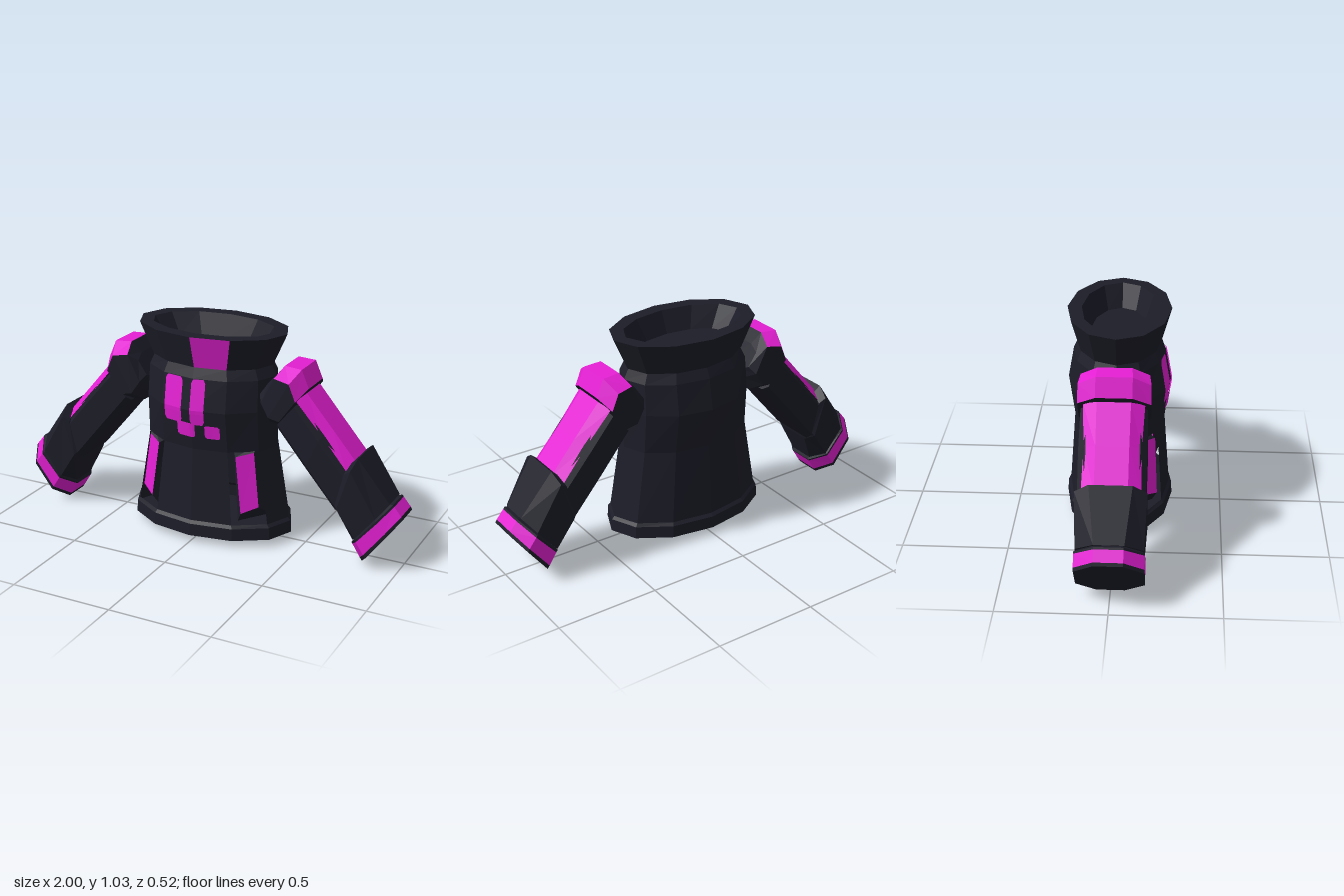
import * as THREE from 'three';

const black = new THREE.MeshStandardMaterial({ color: 0x1c1d28, flatShading: true, side: THREE.DoubleSide });
black.name = 'charcoal cloth';
const pink = new THREE.MeshStandardMaterial({ color: 0xe41fd3, flatShading: true, side: THREE.DoubleSide });
pink.name = 'magenta trim';

// Skins rings of [x, y, z] points; pick(ring, segment) gives 0 black, 1 pink, -1 open
function loft(name, rings, { pick = () => 0, start = -1, end = -1, side = 1 } = {}) {
  const lists = [[], []];
  const tri = (colour, a, b, c) => {
    if (colour < 0) return;
    for (const p of side > 0 ? [a, b, c] : [a, c, b]) lists[colour].push(p[0] * side, p[1], p[2]);
  };
  const n = rings[0].length;
  for (let i = 0; i < rings.length - 1; i++) {
    for (let j = 0; j < n; j++) {
      const k = (j + 1) % n, colour = pick(i, j);
      const a = rings[i][j], b = rings[i][k], c = rings[i + 1][k], d = rings[i + 1][j];
      tri(colour, a, b, c);
      tri(colour, a, c, d);
    }
  }
  const first = rings[0], last = rings[rings.length - 1];
  for (let j = 1; j < n - 1; j++) {
    tri(start, first[0], first[j + 1], first[j]);
    tri(end, last[0], last[j], last[j + 1]);
  }
  const geo = new THREE.BufferGeometry();
  geo.setAttribute('position', new THREE.Float32BufferAttribute([...lists[0], ...lists[1]], 3));
  geo.addGroup(0, lists[0].length / 3, 0);
  geo.addGroup(lists[0].length / 3, lists[1].length / 3, 1);
  geo.computeVertexNormals();
  const mesh = new THREE.Mesh(geo, [black, pink]);
  mesh.name = name;
  return mesh;
}

// Torso profile: height, half width, half depth
const torso = [
  [0.11, 0.403, 0.243], [0.47, 0.338, 0.217], [0.67, 0.335, 0.245],
  [0.82, 0.33, 0.218], [0.87, 0.305, 0.195],
];
const oval = ([y, w, d]) => Array.from({ length: 12 }, (_, j) => {
  const t = j * Math.PI / 6;
  return [w * Math.sin(t), y, d * Math.cos(t)];
});

// Depth of the faceted torso front at a given x and y
function frontZ(x, y) {
  let i = 0;
  while (i < torso.length - 2 && y > torso[i + 1][0]) i++;
  const [a, b] = [torso[i], torso[i + 1]];
  const t = (y - a[0]) / (b[0] - a[0]);
  const w = a[1] + (b[1] - a[1]) * t, d = a[2] + (b[2] - a[2]) * t;
  const step = Math.PI / 6, s = Math.min(Math.abs(x) / w, 0.999);
  const k = Math.floor(Math.asin(s) / step) * step;
  const f = (s - Math.sin(k)) / (Math.sin(k + step) - Math.sin(k));
  return d * (Math.cos(k) + (Math.cos(k + step) - Math.cos(k)) * f);
}

// Eight-sided sleeve section between an outer and an inner point;
// flat is the width of the outer face, bevel the height where the sides begin
function section([px, py, qx, qy, hz, flat, bevel]) {
  const cx = (px + qx) / 2, cy = (py + qy) / 2, ux = (px - qx) / 2, uy = (py - qy) / 2;
  return [[1, -flat], [1, flat], [bevel, 1], [-bevel, 1],
    [-1, flat], [-1, -flat], [-bevel, -1], [bevel, -1]]
    .map(([u, z]) => [cx + ux * u, cy + uy * u, z * hz]);
}
const outerFaces = (j) => (j < 2 || j === 7 ? 1 : 0);

function arm(side) {
  const group = new THREE.Group();
  group.name = side > 0 ? 'leftSleeve' : 'rightSleeve';
  // Shoulder with a coloured cap
  group.add(loft('shoulder', [
    [0.36, 0.85, 0.285, 0.74, 0.12, 0.5, 0.6],
    [0.405, 0.903, 0.3, 0.69, 0.155, 0.5, 0.6],
    [0.49, 0.897, 0.335, 0.62, 0.164, 0.5, 0.64],
    [0.527, 0.812, 0.385, 0.615, 0.164, 0.5, 0.55],
  ].map(section), { pick: (i, j) => (i > 0 ? outerFaces(j) : 0), start: 0, end: 0, side }));
  // Upper sleeve
  group.add(loft('upperSleeve', [
    [0.5, 0.757, 0.387, 0.62, 0.15, 0.8, 0.7],
    [0.62, 0.62, 0.54, 0.438, 0.153, 0.8, 0.7],
    [0.75, 0.466, 0.692, 0.258, 0.15, 0.8, 0.7],
  ].map(section), { start: 0, end: 0, side }));
  // Coloured panel lying along the outside of the sleeve
  group.add(loft('sleevePanel', [
    [0.516, 0.788, 0.46, 0.74, 0.138, 0.55, 0],
    [0.645, 0.637, 0.589, 0.589, 0.128, 0.58, 0],
    [0.772, 0.488, 0.716, 0.44, 0.133, 0.56, 0],
  ].map(section), { pick: (i, j) => outerFaces(j), start: 0, side }));
  // Forearm
  group.add(loft('forearm', [
    [0.745, 0.49, 0.69, 0.262, 0.15, 0.6, 0.7],
    [0.783, 0.522, 0.698, 0.24, 0.16, 0.6, 0.7],
    [0.935, 0.315, 0.762, 0.1, 0.15, 0.45, 0.55],
  ].map(section), { start: 0, end: 0, side }));
  // Cuff band with a closed dark opening
  group.add(loft('cuff', [
    [0.93, 0.312, 0.765, 0.1, 0.14, 0.42, 0.5],
    [0.95, 0.315, 0.757, 0.085, 0.155, 0.42, 0.5],
    [0.956, 0.307, 0.762, 0.078, 0.155, 0.42, 0.5],
    [0.992, 0.264, 0.801, 0.016, 0.155, 0.42, 0.5],
    [1.0, 0.25, 0.812, 0, 0.154, 0.42, 0.5],
  ].map(section), { pick: (i) => (i === 2 ? 1 : 0), end: 0, side }));
  return group;
}

// Side pocket: a recessed dark frame around a coloured panel
function pocket(side) {
  const ring = (pts, push) => pts.map(([x, y]) => [x, y, frontZ(x, y) + push]);
  const frame = [[0.215, 0.12], [0.35, 0.15], [0.285, 0.5], [0.182, 0.462]];
  const panel = [[0.24, 0.17], [0.312, 0.2], [0.278, 0.468], [0.205, 0.45]];
  return loft(side > 0 ? 'leftPocket' : 'rightPocket',
    [ring(frame, -0.035), ring(panel, 0.01)], { end: 1, side });
}

// Thin block of trim that follows the chest facets, corners pulled in a little
function chestBlock(x0, x1, y0, y1) {
  const w = x1 - x0, h = y1 - y0;
  const geo = new THREE.PlaneGeometry(w, h, 8, 12);
  const pos = geo.attributes.position;
  for (let i = 0; i < pos.count; i++) {
    const lx = pos.getX(i), ly = pos.getY(i);
    const corner = Math.abs(lx) > w / 2 - 1e-4 && Math.abs(ly) > h / 2 - 1e-4;
    const k = corner ? 0.006 : 0;
    const x = (x0 + x1) / 2 + lx - Math.sign(lx) * k;
    const y = (y0 + y1) / 2 + ly - Math.sign(ly) * k;
    pos.setXYZ(i, x, y, frontZ(x, y) + 0.006);
  }
  geo.computeVertexNormals();
  const mesh = new THREE.Mesh(geo, pink);
  mesh.name = 'chestBlock';
  return mesh;
}

export function createModel() {
  const model = new THREE.Group();
  model.name = 'jacket';

  // Torso, open behind the two pockets
  model.add(loft('torso', torso.map(oval), {
    pick: (i, j) => (i === 0 && (j === 1 || j === 10) ? -1 : 0),
  }));
  // Hem band with closed underside
  model.add(loft('hem', [[0.035, 0.42, 0.258], [0.095, 0.416, 0.256], [0.11, 0.403, 0.243]].map(oval), { start: 0 }));
  // Flared collar with one coloured facet and a sunken inside
  model.add(loft('collar', [
    [0.87, 0.31, 0.2], [1.027, 0.38, 0.245], [1.027, 0.315, 0.178], [0.92, 0.25, 0.135],
  ].map(oval), { pick: (i, j) => (i === 0 && j === 0 ? 1 : 0), end: 0 }));

  // Chest trim
  const blocks = [
    [-0.147, -0.05, 0.6, 0.82], [-0.077, 0.02, 0.535, 0.607],
    [0, 0.067, 0.6, 0.82], [0.067, 0.14, 0.535, 0.6],
  ];
  for (const b of blocks) model.add(chestBlock(...b));

  for (const side of [1, -1]) model.add(arm(side), pocket(side));
  return model;
}
